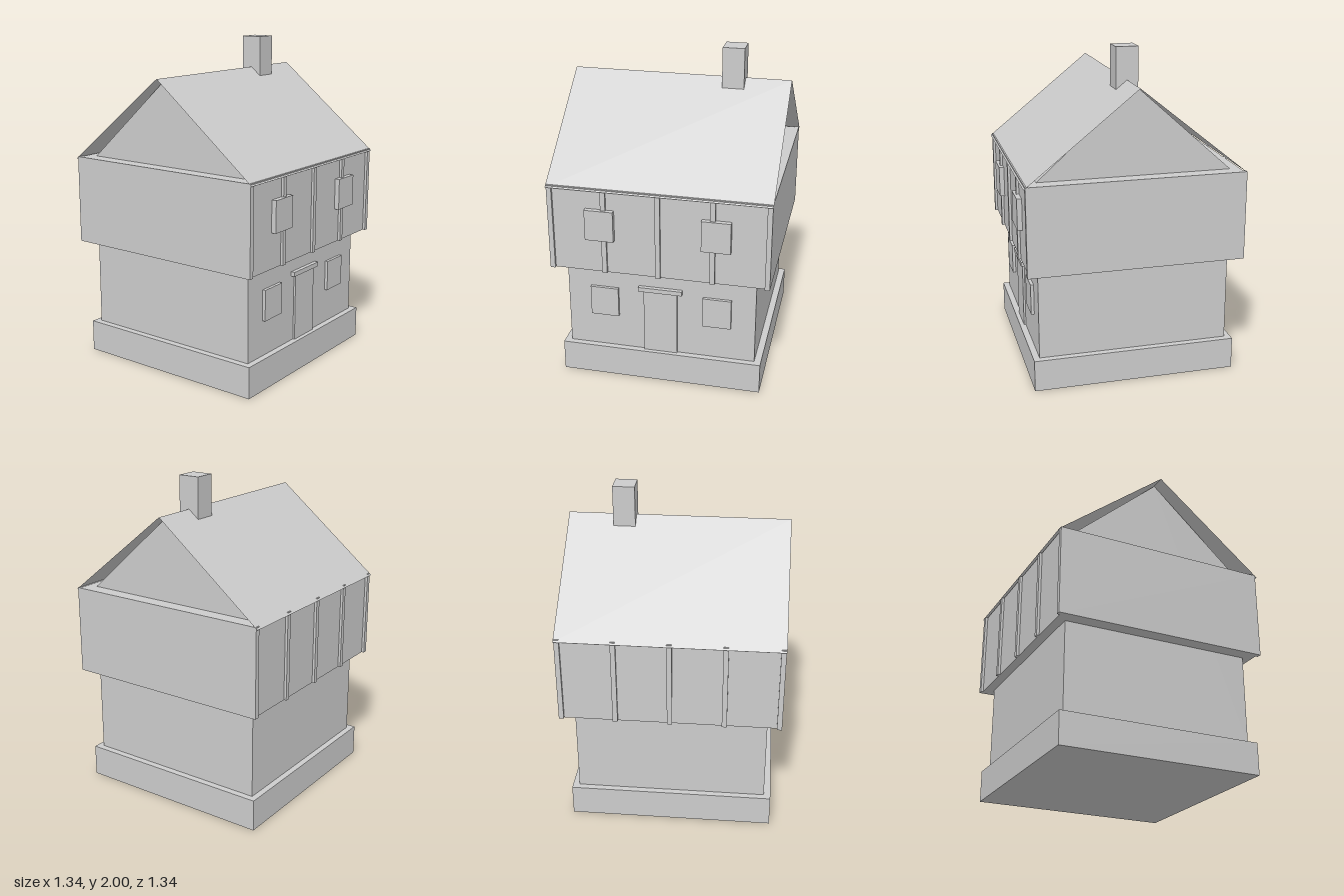
import * as THREE from 'three';

export function createModel() {
  const house = new THREE.Group();
  house.name = 'house';
  const grey = new THREE.MeshStandardMaterial({ color: 0xcccccc, side: THREE.DoubleSide });
  grey.name = 'plain grey';

  const add = (name, geometry) => {
    const mesh = new THREE.Mesh(geometry, grey);
    mesh.name = name;
    house.add(mesh);
    return mesh;
  };
  // Box given by its limits on each axis
  const box = (name, x0, x1, y0, y1, z0, z1) =>
    add(name, new THREE.BoxGeometry(x1 - x0, y1 - y0, z1 - z0))
      .position.set((x0 + x1) / 2, (y0 + y1) / 2, (z0 + z1) / 2);

  // Plinth and jettied upper floor
  box('plinth', -0.623, 0.623, 0, 0.195, -0.623, 0.623);
  box('upperFloor', -0.667, 0.667, 0.74, 1.283, -0.642, 0.642);

  // Core: ground floor walls rising to the recessed gables
  const profile = new THREE.Shape([
    [-0.585, 0.195], [0.585, 0.195], [0.585, 1.28], [0, 1.804], [-0.585, 1.28],
  ].map(([z, y]) => new THREE.Vector2(z, y)));
  const core = new THREE.ExtrudeGeometry(profile, { depth: 1.164, bevelEnabled: false });
  core.translate(0, 0, -0.582);
  core.rotateY(Math.PI / 2);
  add('wallsAndGables', core);

  // Roof: two thin sheets meeting at the ridge
  const ridgeY = 1.806, eaveY = 1.27, eaveZ = 0.668;
  const slopeLength = Math.hypot(eaveZ, ridgeY - eaveY);
  for (const side of [1, -1]) {
    const sheet = new THREE.PlaneGeometry(1.34, slopeLength);
    sheet.rotateX(-Math.atan2(eaveZ, ridgeY - eaveY));
    if (side < 0) sheet.rotateY(Math.PI);
    sheet.translate(0, (ridgeY + eaveY) / 2, side * eaveZ / 2);
    add(side > 0 ? 'frontRoof' : 'backRoof', sheet);
  }
  box('chimney', 0.26, 0.393, 1.6, 2, -0.067, 0.067);

  // Timber posts on the front and back of the upper floor
  for (const x of [-0.652, -0.326, 0, 0.326, 0.652]) {
    box('frontPost', x - 0.015, x + 0.015, 0.74, 1.283, 0.64, 0.658);
    box('backPost', x - 0.015, x + 0.015, 0.74, 1.283, -0.658, -0.64);
  }
  box('frontTopBeam', -0.667, 0.667, 1.266, 1.284, 0.64, 0.659);

  // Windows
  for (const x of [-0.35, 0.348]) {
    box('upperWindow', x - 0.087, x + 0.087, 0.956, 1.149, 0.64, 0.672);
    box('lowerWindow', x - 0.087, x + 0.087, 0.414, 0.605, 0.58, 0.604);
  }

  // Door with its lintel
  box('door', -0.105, 0.102, 0.195, 0.61, 0.58, 0.597);
  box('doorLintel', -0.136, 0.134, 0.609, 0.637, 0.58, 0.61);

  return house;
}
